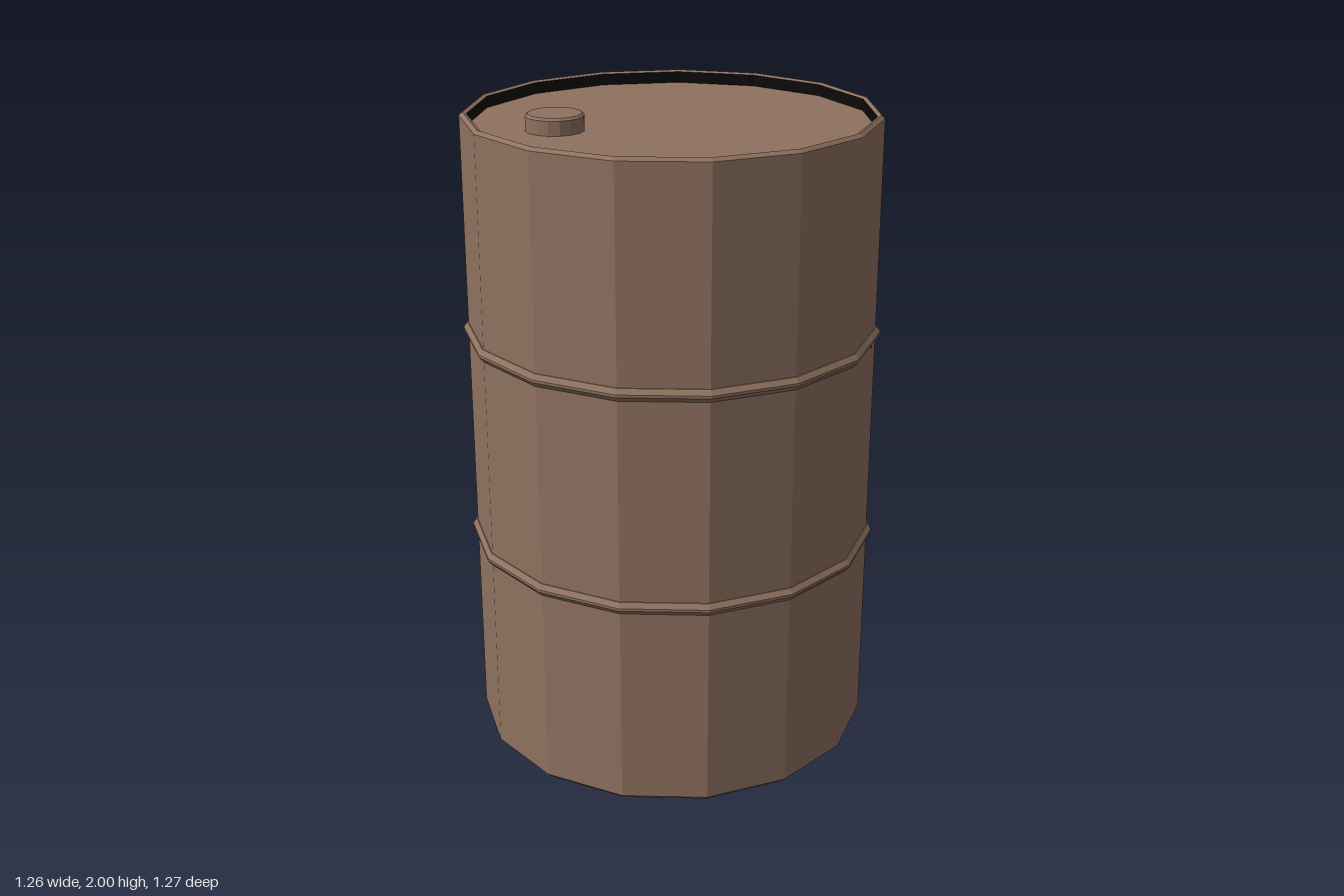
import * as THREE from 'three';

const SIDES = 15;
const RADIUS = 0.624;

// Revolved part with flat facets; a corner points along +x
function lathe(profile, sides = SIDES) {
  const points = profile.map(([r, y]) => new THREE.Vector2(r, y));
  const geometry = new THREE.LatheGeometry(points, sides, Math.PI / 2).toNonIndexed();
  geometry.computeVertexNormals();
  return geometry;
}

export function createModel() {
  const brown = new THREE.MeshStandardMaterial({ color: 0x8f7260 });
  brown.name = 'brown steel';
  const black = new THREE.MeshStandardMaterial({ color: 0x0c0a09 });
  black.name = 'black residue';

  const barrel = new THREE.Group();
  barrel.name = 'barrel';
  barrel.position.x = -0.007;
  const add = (name, geometry, material) => {
    const mesh = new THREE.Mesh(geometry, material);
    mesh.name = name;
    barrel.add(mesh);
    return mesh;
  };

  // Closed bottom, bevelled edges and rolled top rim
  add('body', lathe([
    [0, 0], [0.613, 0], [RADIUS, 0.012], [RADIUS, 1.98], [0.613, 1.99], [0.602, 1.985],
  ]), brown);

  // Dark inside of the rim and the sunken lid
  add('rimInside', lathe([[0.602, 1.985], [0.602, 1.95]]), black);
  add('lid', lathe([[0.602, 1.95], [0, 1.95]]), brown);

  // Two raised hoops
  for (const [name, y] of [['lowerHoop', 0.66], ['upperHoop', 1.325]]) {
    add(name, lathe([
      [0.62, y - 0.019], [0.627, y - 0.019], [0.639, y - 0.004],
      [0.639, y + 0.004], [0.627, y + 0.019], [0.62, y + 0.019],
    ]), brown);
  }

  // Filler cap
  const cap = add('fillerCap', lathe([
    [0.087, 1.95], [0.087, 1.993], [0.08, 2], [0, 2],
  ], 16), brown);
  cap.position.set(-0.233, 0, 0.265);

  // Thin ragged stains lying on single side panels
  const apothem = RADIUS * Math.cos(Math.PI / SIDES) + 0.002;
  function stain(name, degrees, outline) {
    const shape = new THREE.Shape(outline.map(([u, y]) => new THREE.Vector2(u, y)));
    const mesh = add(name, new THREE.ShapeGeometry(shape), black);
    const angle = THREE.MathUtils.degToRad(degrees);
    mesh.position.set(apothem * Math.cos(angle), 0, apothem * Math.sin(angle));
    mesh.rotation.y = Math.PI / 2 - angle;
  }
  stain('rimStain', -60, [
    [-0.08, 1.98], [-0.07, 1.968], [-0.03, 1.965], [0, 1.947],
    [0.05, 1.95], [0.07, 1.968], [0.11, 1.972], [0.12, 1.98],
  ]);
  stain('hoopStainWide', -36, [
    [-0.1, 1.307], [-0.08, 1.298], [-0.03, 1.29], [0.02, 1.296], [0.05, 1.307],
  ]);
  stain('hoopStainSmall', -12, [[0.055, 1.307], [0.075, 1.292], [0.095, 1.307]]);

  const model = new THREE.Group();
  model.name = 'oilDrum';
  model.add(barrel);
  return model;
}
